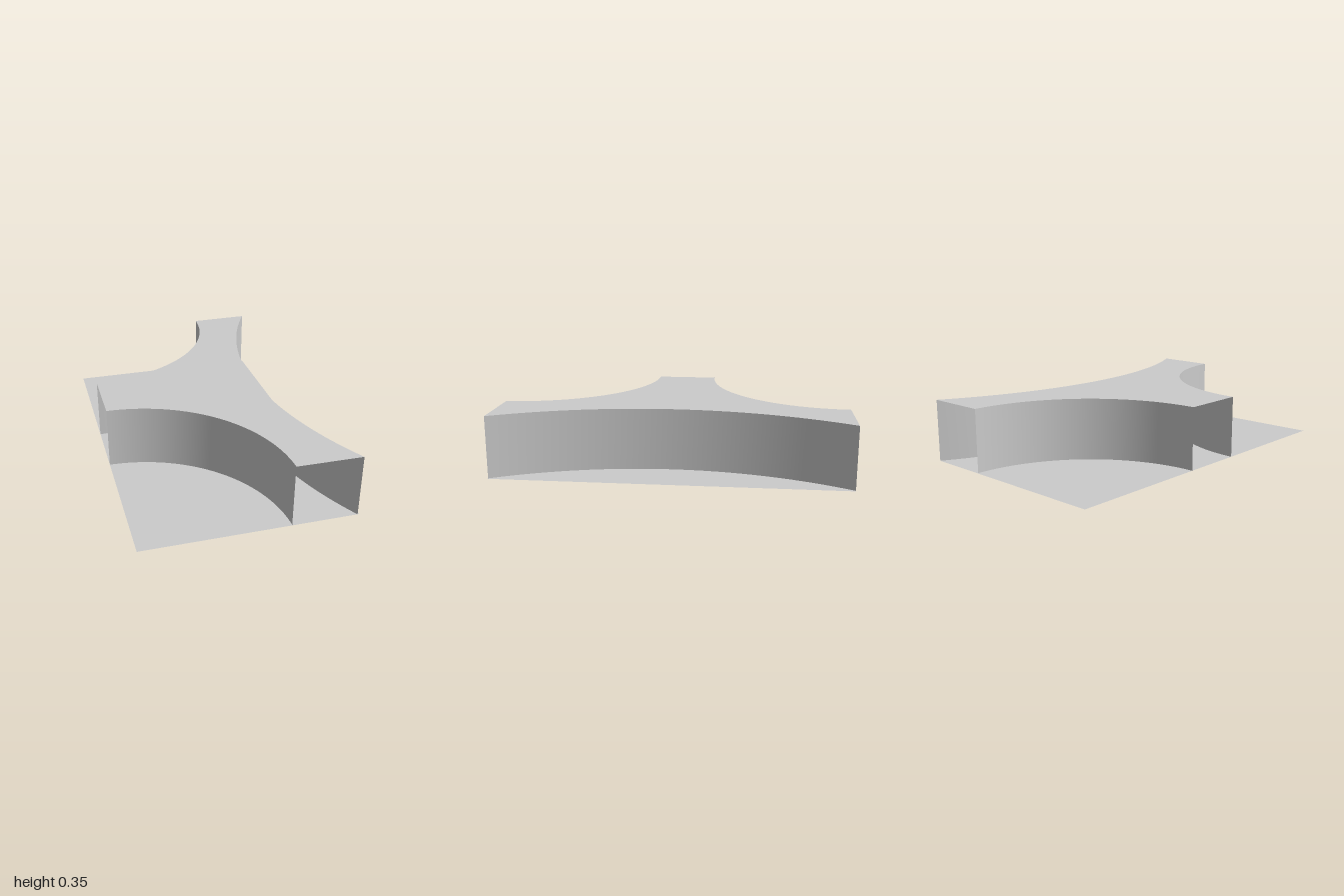
import * as THREE from 'three';

const HEIGHT = 0.355;
const HALF_X = 0.594;
const SEGMENTS = 48;

// Points [x, z] along an elliptical arc
function arc(cx, cz, rx, rz, from, to) {
  return Array.from({ length: SEGMENTS + 1 }, (_, i) => {
    const a = from + ((to - from) * i) / SEGMENTS;
    return new THREE.Vector2(cx + rx * Math.cos(a), cz + rz * Math.sin(a));
  });
}

// Thin upright sheet following a plan curve
function wallGeometry(points) {
  const positions = [];
  const index = [];
  points.forEach((p, i) => {
    positions.push(p.x, 0, p.y, p.x, HEIGHT, p.y);
    if (i > 0) {
      const a = 2 * (i - 1);
      index.push(a, a + 1, a + 2, a + 1, a + 3, a + 2);
    }
  });
  const geometry = new THREE.BufferGeometry();
  geometry.setAttribute('position', new THREE.Float32BufferAttribute(positions, 3));
  geometry.setIndex(index);
  geometry.computeVertexNormals();
  return geometry;
}

export function createModel() {
  const model = new THREE.Group();
  model.name = 'curvedJunction';
  const grey = new THREE.MeshStandardMaterial({ color: 0xcccccc, side: THREE.DoubleSide });
  grey.name = 'lightGrey';

  const add = (name, geometry) => {
    const mesh = new THREE.Mesh(geometry, grey);
    mesh.name = name;
    model.add(mesh);
    return mesh;
  };

  // Plan curves: two quarter rounds at the -x corners, one shallow bow on the +x side
  const frontCurve = arc(-HALF_X, 0.995, 0.815, 0.815, 0, -Math.PI / 2);
  const backCurve = arc(-HALF_X, -0.995, 0.83, 0.81, Math.PI / 2, 0);
  const radius = 2.05;
  const sweep = Math.asin(1 / radius);
  const sideCurve = arc(0.325 + radius, 0, radius, radius, Math.PI + sweep, Math.PI - sweep);

  // Floor sheet
  const floor = add('floor', new THREE.PlaneGeometry(2 * HALF_X, 2));
  floor.geometry.rotateX(-Math.PI / 2);

  // Curved walls; the three passage ends stay open
  add('frontWall', wallGeometry(frontCurve));
  add('backWall', wallGeometry(backCurve));
  add('sideWall', wallGeometry(sideCurve));

  // Roof sheet spanning the walls
  const outline = [...frontCurve, ...backCurve, ...sideCurve];
  const roof = new THREE.ShapeGeometry(
    new THREE.Shape(outline.map((p) => new THREE.Vector2(p.x, -p.y)))
  );
  roof.rotateX(-Math.PI / 2);
  roof.translate(0, HEIGHT, 0);
  add('roof', roof);

  return model;
}
